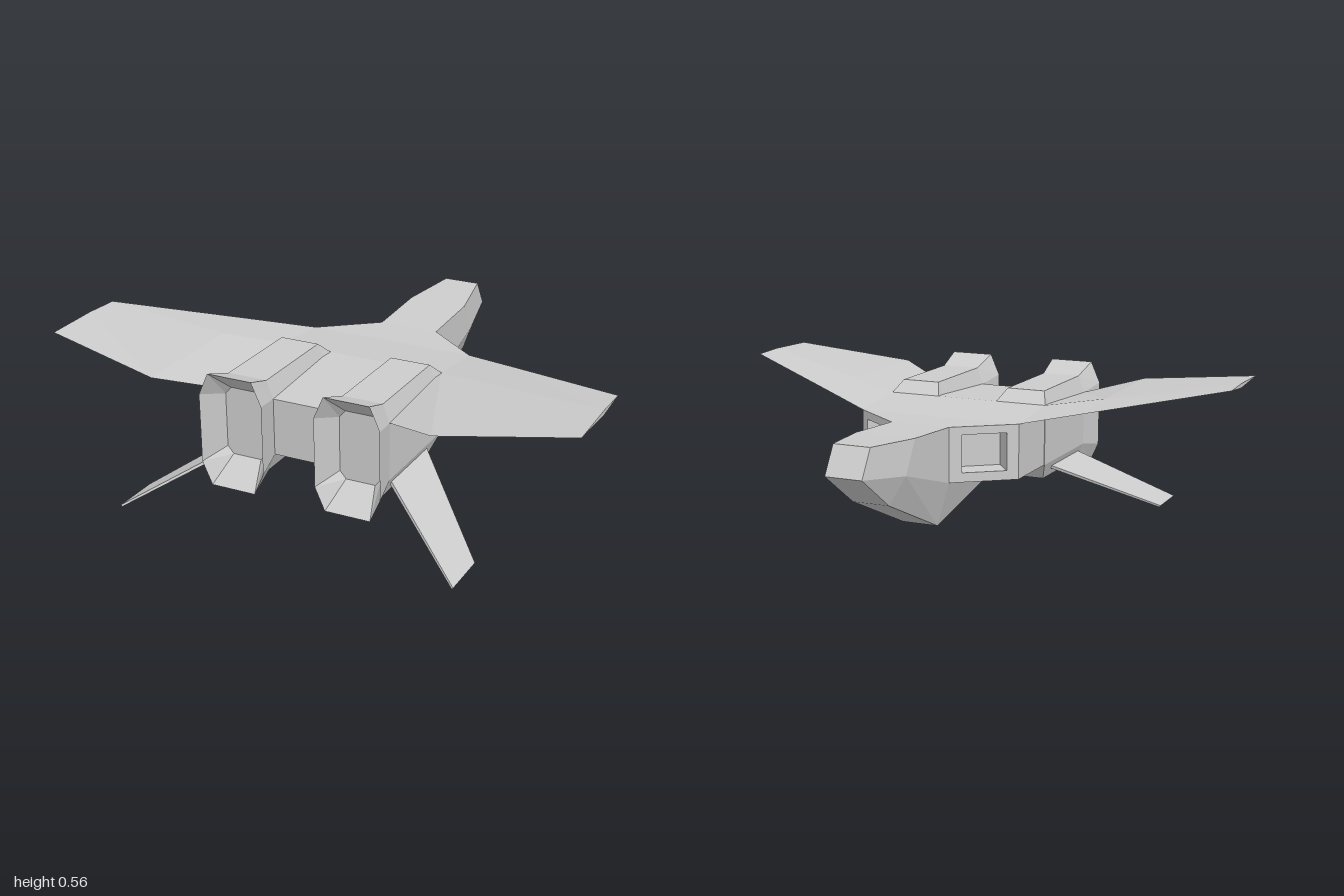
import * as THREE from 'three';

const material = new THREE.MeshStandardMaterial({ color: 0xcccccc, flatShading: true, side: THREE.DoubleSide });

// Flat-shaded mesh from polygons given as corner lists, counter-clockwise from outside
function polyMesh(name, polys) {
  const pos = [];
  for (const p of polys)
    for (let i = 1; i < p.length - 1; i++) pos.push(...p[0], ...p[i], ...p[i + 1]);
  const geo = new THREE.BufferGeometry();
  geo.setAttribute('position', new THREE.Float32BufferAttribute(pos, 3));
  geo.computeVertexNormals();
  const mesh = new THREE.Mesh(geo, material);
  mesh.name = name;
  return mesh;
}

// Polygons joining successive rings, with optional end caps
function loft(rings, capStart = true, capEnd = true) {
  const polys = [];
  for (let r = 0; r < rings.length - 1; r++) {
    const a = rings[r], b = rings[r + 1], n = a.length;
    for (let i = 0; i < n; i++) {
      const j = (i + 1) % n;
      polys.push([a[i], a[j], b[j], b[i]]);
    }
  }
  if (capStart) polys.push([...rings[0]].reverse());
  if (capEnd) polys.push(rings[rings.length - 1]);
  return polys;
}

const flip = ([x, y, z]) => [-x, y, z];
const mirrorPolys = (polys) => polys.map((p) => p.map(flip).reverse());
// Full ring from its +x half
const symmetric = (half) => [...half, ...half.map(flip).reverse()];

export function createModel() {
  const model = new THREE.Group();
  model.name = 'aircraft';
  const addPair = (name, polys) => {
    model.add(polyMesh(name + 'Left', polys));
    model.add(polyMesh(name + 'Right', mirrorPolys(polys)));
  };

  // Nose: bottom edge, side chine and top edge at each station
  const nose = [
    [[0.07, 0.365, -0.8], [0.07, 0.365, -0.8], [0.07, 0.465, -0.74]],
    [[0.07, 0.235, -0.61], [0.115, 0.335, -0.57], [0.115, 0.453, -0.5]],
    [[0.07, 0.07, -0.23], [0.115, 0.235, -0.23], [0.115, 0.44, -0.23]],
  ];
  model.add(polyMesh('nose', loft(nose.map(symmetric), true, false)));

  // Belly keel tapering up to the tail
  const keel = [
    [[0.07, 0.07, -0.23], [0.115, 0.235, -0.23]],
    [[0.07, 0.235, 0.6], [0.115, 0.235, 0.6]],
  ];
  model.add(polyMesh('bellyKeel', loft(keel.map(symmetric), false, false)));

  // Centre body: half width, top height and z of each row
  const low = 0.235;
  const rows = [[0.115, 0.44, -0.23], [0.32, 0.44, -0.07], [0.32, 0.465, 0.18], [0.32, 0.445, 0.6]];
  const body = [];
  for (let i = 0; i < 3; i++) {
    const a = rows[i], b = rows[i + 1];
    const top = [flip(a), flip(b), b, a];
    body.push(top, top.map(([x, , z]) => [x, low, z]).reverse());
  }
  const side = [[0.32, low, -0.07], ...rows.slice(1), [0.32, low, 0.6]];
  body.push(side, ...mirrorPolys([side]));
  body.push([[-0.32, low, 0.6], [0.32, low, 0.6], [0.32, 0.445, 0.6], [-0.32, 0.445, 0.6]]);
  model.add(polyMesh('centreBody', body));

  // Slanted air intakes with a recessed opening
  const intakeRing = (t0, t1, y0, y1, depth) =>
    [[t1, y0], [t0, y0], [t0, y1], [t1, y1]].map(([t, y]) =>
      [0.115 + 0.205 * t - 0.615 * depth, y, -0.23 + 0.16 * t + 0.788 * depth]);
  addPair('airIntake', loft([
    intakeRing(0, 1, low, 0.44, 0),
    intakeRing(0.19, 0.83, 0.27, 0.41, 0),
    intakeRing(0.19, 0.83, 0.27, 0.41, 0.1),
  ], false));

  // Wings: leading edge, top ridge, trailing edge, bottom ridge
  addPair('wing', loft([
    [[0.32, 0.44, -0.07], [0.32, 0.465, 0.18], [0.32, 0.445, 0.6], [0.32, 0.41, 0.18]],
    [[0.53, 0.476, 0.041], [0.53, 0.494, 0.257], [0.53, 0.497, 0.73], [0.53, 0.451, 0.257]],
    [[1, 0.555, 0.29], [1, 0.56, 0.43], [1, 0.555, 0.65], [1, 0.543, 0.43]],
  ]));

  // Engines: chamfered nacelle, flared nozzle and its recessed inside
  const engineRing = (z, w, h, w2, h2, cy = 0.34) =>
    [[w, -h], [w, h], [w2, h2], [-w2, h2], [-w, h], [-w, -h], [-w2, -h2], [w2, -h2]]
      .map(([x, y]) => [0.222 + x, cy + y, z]);
  addPair('engine', loft([
    engineRing(0.18, 0.1, 0.115, 0.1, 0.115, 0.35),
    engineRing(0.23, 0.1, 0.105, 0.075, 0.17),
    engineRing(0.6, 0.1, 0.105, 0.075, 0.17),
    engineRing(0.72, 0.122, 0.127, 0.085, 0.21),
    engineRing(0.62, 0.078, 0.1, 0.055, 0.127),
  ]));

  // Thin ventral fins slanting down and out
  const finRing = (x, y, zLead, zTrail, t) => {
    const dx = 0.52 * t, dy = 0.85 * t;
    return [
      [x + dx, y + dy, zLead], [x + dx, y + dy, zTrail],
      [x - dx, y - dy, zTrail], [x - dx, y - dy, zLead],
    ];
  };
  addPair('ventralFin', loft([
    finRing(0.3, 0.212, 0.27, 0.56, 0.006),
    finRing(0.645, 0.005, 0.62, 0.8, 0.004),
  ]));

  return model;
}
